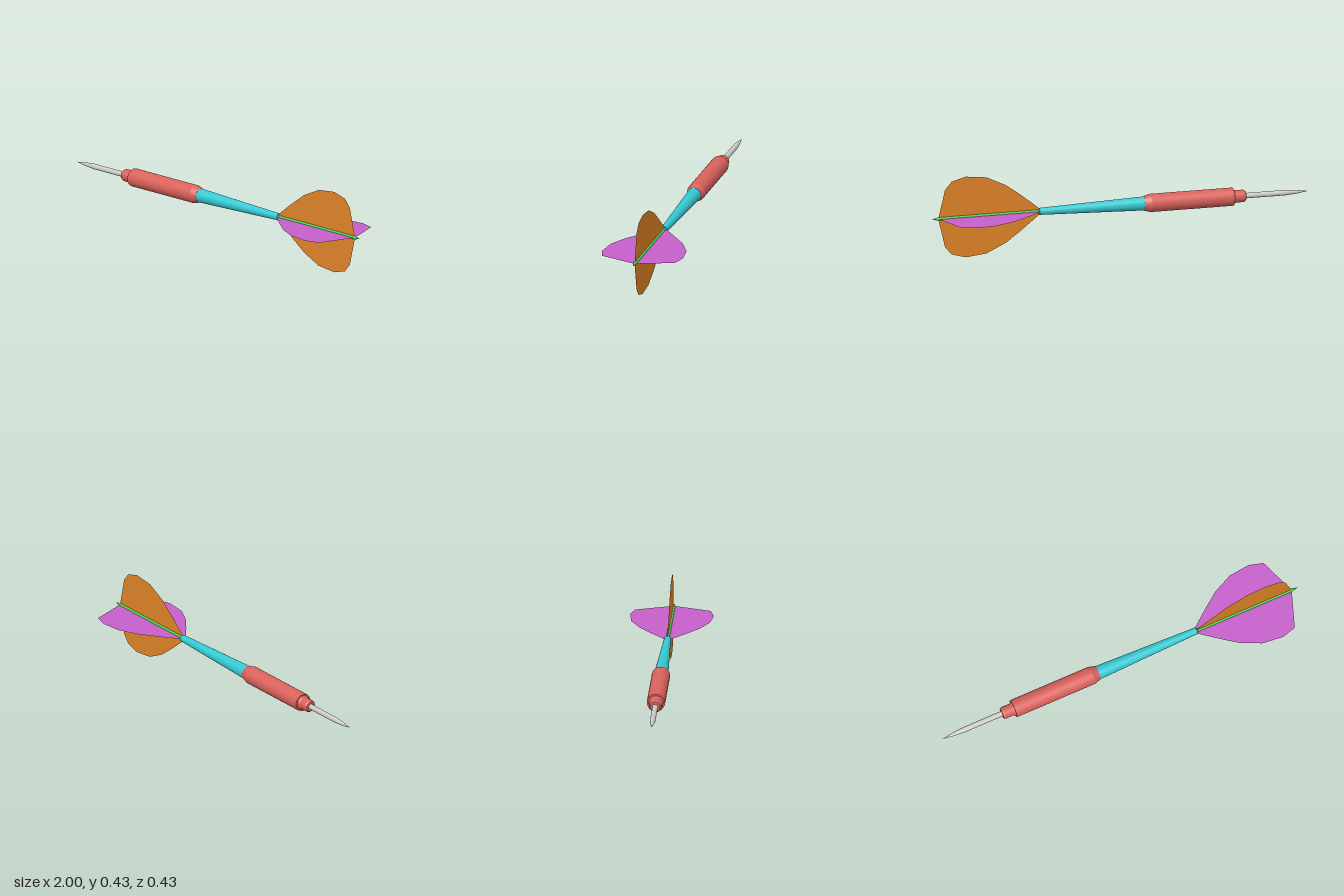
import * as THREE from 'three';

const AXIS_Y = 0.215;
const mat = (color, side = THREE.FrontSide) => new THREE.MeshStandardMaterial({ color, side });

// Turned part along x: each [x, radius] pair starts or ends a crisp conical section
function turned(name, profile, material, sides = 32) {
  const part = new THREE.Group();
  part.name = name;
  for (let i = 0; i < profile.length - 1; i++) {
    const [x0, r0] = profile[i], [x1, r1] = profile[i + 1];
    let geo;
    if (x1 - x0 < 1e-6) {
      // flat shoulder between two radii
      geo = new THREE.RingGeometry(Math.min(r0, r1), Math.max(r0, r1), sides);
      geo.rotateY(r1 > r0 ? -Math.PI / 2 : Math.PI / 2);
    } else {
      geo = new THREE.CylinderGeometry(r1, r0, x1 - x0, sides, 1, true);
      geo.rotateZ(-Math.PI / 2);
    }
    geo.translate((x0 + x1) / 2, 0, 0);
    const mesh = new THREE.Mesh(geo, material);
    mesh.name = name + 'Section' + (i + 1);
    part.add(mesh);
  }
  return part;
}

// Thin fin mirrored about the axis
function flight(name, outline, color) {
  const mirrored = outline.slice(0, -1).reverse().map(([x, y]) => [x, -y]);
  const shape = new THREE.Shape([...outline, ...mirrored].map(([x, y]) => new THREE.Vector2(x, y)));
  const mesh = new THREE.Mesh(new THREE.ShapeGeometry(shape), mat(color, THREE.DoubleSide));
  mesh.name = name;
  return mesh;
}

export function createModel() {
  const dart = new THREE.Group();
  dart.name = 'dart';
  const body = new THREE.Group();
  body.name = 'body';
  body.position.y = AXIS_Y;
  dart.add(body);

  // Steel point
  body.add(turned('point', [[-1, 0], [-0.94, 0.009], [-0.88, 0.014], [-0.66, 0.014]], mat(0xcccccc)));

  // Barrel with nose collar and tapered rear
  body.add(turned('barrel', [
    [-0.665, 0], [-0.665, 0.026], [-0.655, 0.032], [-0.61, 0.032], [-0.6, 0.038],
    [-0.6, 0.046], [-0.59, 0.047], [-0.16, 0.047], [-0.125, 0.037], [-0.125, 0],
  ], mat(0xdb625c)));

  // Tapering shaft
  body.add(turned('shaft', [[-0.125, 0.036], [0.43, 0.018], [0.43, 0]], mat(0x35cad4)));

  // Flight holder rod with pointed end
  body.add(turned('flightRod', [
    [0.425, 0.018], [0.435, 0.009], [0.965, 0.009], [1, 0],
  ], mat(0x4fcf48), 16));

  // Crossed flights
  const edge = [[0.425, 0.014], [0.52, 0.09], [0.605, 0.153], [0.71, 0.203], [0.82, 0.215], [0.895, 0.194]];
  const tail = [0.966, 0];
  body.add(flight('uprightFlight', [...edge, [0.93, 0.152], tail], 0xe08428));
  const level = flight('levelFlight', [...edge, tail], 0xc55fcb);
  level.rotation.x = -Math.PI / 2;
  body.add(level);

  return dart;
}
